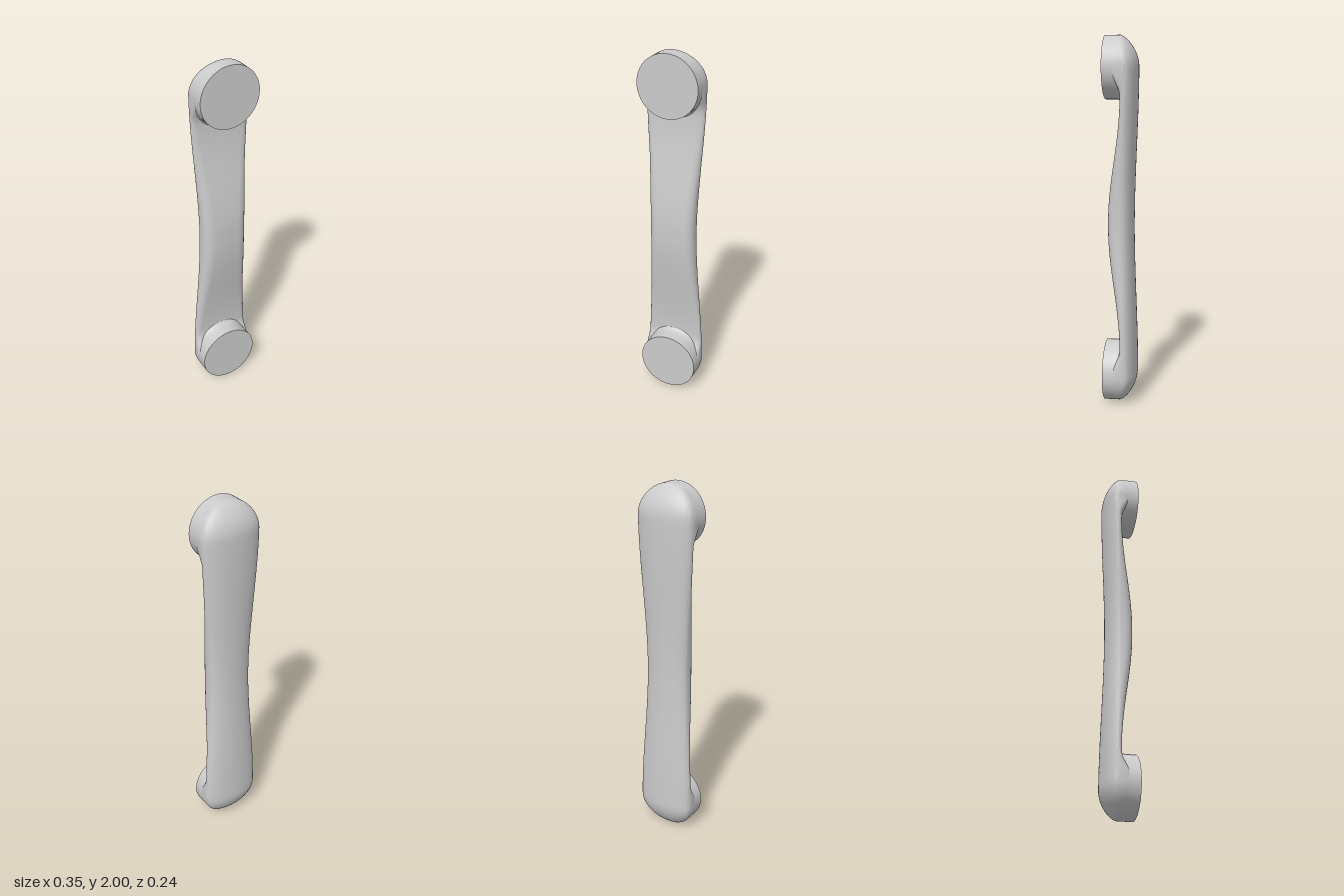
import * as THREE from 'three';
import { toCreasedNormals } from 'three/addons/utils/BufferGeometryUtils.js';

const R = 0.167; // radius of the posts and of the rounded bar ends
const { smoothstep, lerp } = THREE.MathUtils;

// Skin a list of closed rings (arrays of Vector3, all of equal length)
function loft(rings, crease) {
  const n = rings[0].length;
  const index = [];
  for (let i = 0; i < rings.length - 1; i++) {
    for (let j = 0; j < n; j++) {
      const a = i * n + j, b = i * n + (j + 1) % n;
      index.push(a, b, b + n, a, b + n, a + n);
    }
  }
  const geometry = new THREE.BufferGeometry().setFromPoints(rings.flat());
  geometry.setIndex(index);
  return toCreasedNormals(geometry, crease);
}

// Bar cross-section at height y: flat front with soft corners, domed back
function barRing(y) {
  const t = Math.abs(y - 1);
  const k = smoothstep(t, 0, 0.85);
  const d = Math.max(0, t - (1 - R)) / R;
  const s = Math.sqrt(Math.max(0, 1 - d * d)); // shrinks to 0 at the tips
  const w = lerp(0.128, R, k) * s;
  const bow = lerp(0.022, 0.092, smoothstep(t, 0.02, 0.68));
  const front = lerp(bow, 0.045, smoothstep(t, 0.69, 0.82)); // sinks into the post
  const edge = lerp(0.08, lerp(0.095, 0.112, k), s ** 3);
  const crown = lerp(0.08, lerp(0.155, 0.176, k), s ** 1.5);
  const cornerX = lerp(0.06, 0.03, k) * s;
  const cornerZ = Math.min(lerp(0.05, 0.02, k), edge - front) * s;
  const ring = [];
  for (let i = 0; i <= 6; i++) {
    const a = (i / 6) * Math.PI / 2;
    ring.push([-w + cornerX * (1 - Math.cos(a)), front + cornerZ * (1 - Math.sin(a))]);
  }
  ring.push([0, front], ...ring.map(([x, v]) => [-x, v]).reverse());
  for (let i = 0; i <= 24; i++) {
    const a = (i / 24) * Math.PI;
    ring.push([w * Math.cos(a), edge + (crown - edge) * Math.sin(a)]);
  }
  return ring.map(([x, v]) => new THREE.Vector3(x, y, -v));
}

function barGeometry() {
  const tip = [];
  for (let i = 0; i <= 16; i++) tip.push(R * (1 - Math.cos((i / 16) * Math.PI / 2)));
  const middle = [];
  for (let i = 1; i < 70; i++) middle.push(R + (i / 70) * (2 - 2 * R));
  const heights = [...tip, ...middle, ...tip.map((y) => 2 - y).reverse()];
  return loft(heights.map(barRing), 0.9);
}

// Round post, flaring into the bar on its inner side (inner = +1 or -1 along y)
function postGeometry(inner) {
  const profile = [[0.03, 1], [0.018, 0.95], [0.009, 0.87], [0.003, 0.75], [0, 0.6], [0, 0]];
  const ring = (flare, depth, radius) => Array.from({ length: 64 }, (_, j) => {
    const a = (j / 64) * Math.PI * 2;
    const c = Math.max(0, Math.sin(a) * inner);
    const r = radius + flare * c ** 3;
    const fullDepth = 0.082 + 0.014 * smoothstep(c, 0, 0.5);
    return new THREE.Vector3(r * Math.cos(a), r * Math.sin(a), -depth * fullDepth);
  });
  const rings = profile.map(([flare, depth]) => ring(flare, depth, R));
  rings.push(ring(0, 0, 0)); // flat mounting face
  return loft(rings, 0.9);
}

export function createModel() {
  const material = new THREE.MeshStandardMaterial({ color: 0xcccccc, side: THREE.DoubleSide });
  const handle = new THREE.Group();
  handle.name = 'pullHandle';

  const bar = new THREE.Mesh(barGeometry(), material);
  bar.name = 'gripBar';
  handle.add(bar);

  for (const [name, y, inner] of [['lowerPost', R, 1], ['upperPost', 2 - R, -1]]) {
    const post = new THREE.Mesh(postGeometry(inner), material);
    post.name = name;
    post.position.y = y;
    handle.add(post);
  }

  // The whole handle is turned a little about the vertical
  handle.rotation.y = -0.309;
  handle.position.set(-0.018, 0, 0.066);
  const model = new THREE.Group();
  model.add(handle);
  return model;
}
